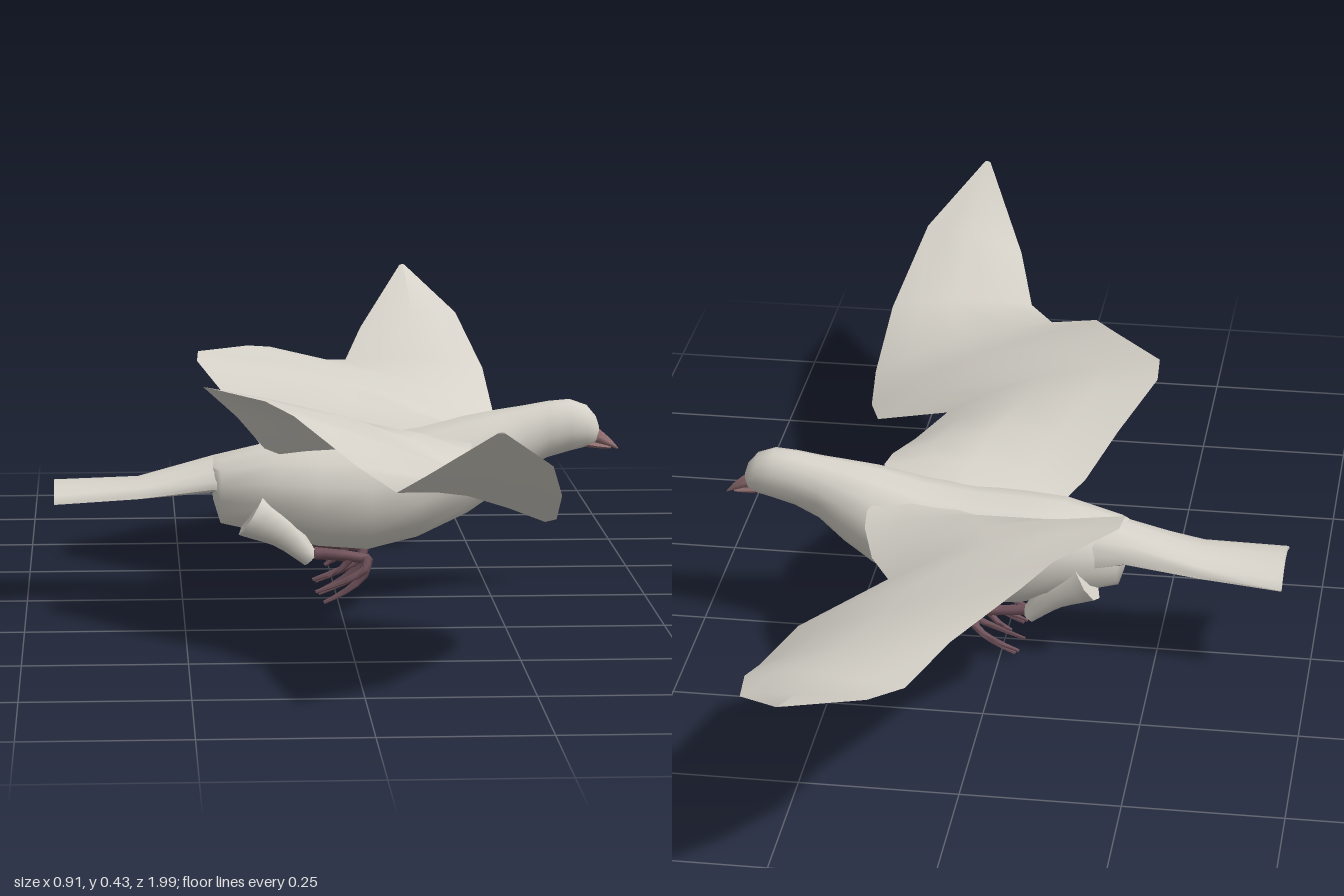
import * as THREE from 'three';
import { toCreasedNormals } from 'three/addons/utils/BufferGeometryUtils.js';

// Skin closed cross-sections (arrays of Vector3), cap both ends, face outward
function loft(rings, crease = 1) {
  const n = rings[0].length, pos = [], tri = [];
  rings.flat().forEach(p => pos.push(p.x, p.y, p.z));
  for (let i = 0; i < rings.length - 1; i++)
    for (let j = 0; j < n; j++) {
      const a = i * n + j, b = i * n + (j + 1) % n;
      tri.push([a, b, a + n], [b, b + n, a + n]);
    }
  const last = (rings.length - 1) * n;
  for (let j = 1; j < n - 1; j++) tri.push([0, j + 1, j], [last, last + j, last + j + 1]);
  const p = rings.flat();
  const volume = tri.reduce((s, [a, b, c]) => s + p[a].dot(p[b].clone().cross(p[c])), 0);
  if (volume < 0) tri.forEach(t => t.reverse());
  const g = new THREE.BufferGeometry();
  g.setAttribute('position', new THREE.Float32BufferAttribute(pos, 3));
  g.setIndex(tri.flat());
  return toCreasedNormals(g, crease);
}

const V = (x, y, z) => new THREE.Vector3(x, y, z);

// Upright oval section: x, bottom, top, half width, centre z
function oval([x, bottom, top, half, cz = -0.005], n = 14) {
  return Array.from({ length: n }, (_, i) => {
    const a = i / n * Math.PI * 2;
    return V(x, (top + bottom) / 2 + Math.cos(a) * (top - bottom) / 2, cz + Math.sin(a) * half);
  });
}

// Tapering tube along a smooth path
function taper(points, r0, r1, sides = 6, steps = 6) {
  const curve = new THREE.CatmullRomCurve3(points);
  const rings = [];
  for (let i = 0; i <= steps; i++) {
    const t = i / steps, c = curve.getPoint(t), d = curve.getTangent(t);
    const u = V(0, 0, 1).cross(d).normalize(), w = d.clone().cross(u).normalize();
    const r = r0 + (r1 - r0) * t;
    rings.push(Array.from({ length: sides }, (_, j) => {
      const a = j / sides * Math.PI * 2;
      return c.clone().addScaledVector(u, Math.cos(a) * r).addScaledVector(w, Math.sin(a) * r);
    }));
  }
  return loft(rings, 1.2);
}

// Wing stations: leading x,y,z, trailing x,y,z, thickness
const STATIONS = [
  [0.20, 0.26, 0.02, -0.08, 0.235, 0.02, 0.012],
  [0.21, 0.265, 0.08, -0.12, 0.26, 0.08, 0.02],
  [0.205, 0.26, 0.13, -0.165, 0.32, 0.14, 0.024],
  [0.18, 0.25, 0.21, -0.22, 0.38, 0.22, 0.026],
  [0.14, 0.26, 0.295, -0.217, 0.388, 0.28, 0.026],
  [0.27, 0.205, 0.365, -0.13, 0.382, 0.39, 0.024],
  [0.292, 0.20, 0.43, -0.09, 0.37, 0.46, 0.022],
  [0.30, 0.22, 0.52, 0.0, 0.31, 0.57, 0.018],
  [0.293, 0.28, 0.66, 0.05, 0.29, 0.68, 0.014],
  [0.26, 0.355, 0.85, 0.085, 0.335, 0.80, 0.008],
  [0.178, 0.425, 0.993, 0.168, 0.425, 0.99, 0.002],
];

function wing(side) {
  const shift = side < 0 ? 0.008 : 0;
  return loft(STATIONS.map(([lx, ly, lz, tx, ty, tz, h]) => {
    if (side < 0 && tx < -0.05) ty -= 0.022;
    const lead = V(lx, ly, side * (lz + shift)), trail = V(tx, ty, side * (tz + shift));
    const at = (t, up) => lead.clone().lerp(trail, t).add(V(0, up * h, 0));
    return [lead, at(0.2, 0.7), at(0.45, 0.9), at(0.75, 0.5), trail,
      at(0.75, 0.1), at(0.45, 0), at(0.2, -0.15)];
  }), 0.9);
}

export function createModel() {
  const bird = new THREE.Group();
  bird.name = 'bird';
  const mat = (name, color) => {
    const m = new THREE.MeshStandardMaterial({ color });
    m.name = name;
    return m;
  };
  const plumage = mat('pale plumage', 0xd6d2c9);
  const horn = mat('beak pink', 0x906e70);
  const skin = mat('dark foot pink', 0x70525b);
  const add = (name, geometry, material, parent = bird) => {
    const m = new THREE.Mesh(geometry, material);
    m.name = name;
    parent.add(m);
    return m;
  };

  // Body, neck and head in one smooth skin
  add('body', loft([
    [-0.20, 0.165, 0.233, 0.04], [-0.188, 0.125, 0.238, 0.055], [-0.10, 0.105, 0.26, 0.082],
    [-0.03, 0.086, 0.265, 0.094], [0.05, 0.08, 0.268, 0.097], [0.13, 0.10, 0.278, 0.092],
    [0.21, 0.138, 0.298, 0.075], [0.26, 0.172, 0.307, 0.056], [0.30, 0.208, 0.313, 0.043],
    [0.34, 0.228, 0.32, 0.037], [0.375, 0.238, 0.323, 0.034], [0.403, 0.245, 0.313, 0.028],
    [0.418, 0.252, 0.295, 0.018], [0.423, 0.262, 0.28, 0.008],
  ].map(s => oval(s)), 1.1), plumage);

  // Tail: a thin arched fan
  add('tail', loft([
    [-0.10, 0.14, 0.258, 0.06, 0.02], [-0.20, 0.18, 0.235, 0.055, 0.015],
    [-0.32, 0.176, 0.201, 0.062, 0.012], [-0.455, 0.188, 0.197, 0.077, 0.024],
  ].map(([x, bottom, top, half, droop]) => oval([x, bottom, top, half, -0.013]).map(p => {
    p.y -= droop * ((p.z + 0.013) / half) ** 2;
    return p;
  }))), plumage);

  // Wings
  add('leftWing', wing(1), plumage);
  add('rightWing', wing(-1), plumage);

  // Open beak
  add('upperBeak', loft([
    [0.405, 0.253, 0.285, 0.017], [0.425, 0.25, 0.273, 0.012],
    [0.443, 0.244, 0.257, 0.006], [0.455, 0.24, 0.243, 0.002],
  ].map(s => oval(s, 8))), horn);
  add('lowerBeak', loft([
    [0.395, 0.245, 0.258, 0.014], [0.42, 0.242, 0.251, 0.009], [0.443, 0.241, 0.245, 0.003],
  ].map(s => oval(s, 8))), horn);

  // Thigh feathers, legs and trailing toes
  for (const side of [1, -1]) {
    const leg = new THREE.Group();
    leg.name = side > 0 ? 'leftLeg' : 'rightLeg';
    bird.add(leg);
    const z = 0.052 * side;
    add('thighFeathers', taper([V(-0.14, 0.15, z), V(-0.09, 0.12, z), V(-0.045, 0.075, z * 0.95)],
      0.04, 0.014, 8), plumage, leg);
    add('shank', taper([V(-0.04, 0.085, z), V(0.01, 0.08, z), V(0.048, 0.074, z)],
      0.01, 0.008), skin, leg);
    for (const [dx, dy, dz] of [[0, 0, 0], [-0.014, 0.02, 0.014], [-0.008, 0.012, -0.014]])
      add('toe', taper([V(0.046, 0.076, z), V(0.04, 0.048 + dy * 0.5, z + dz * 0.7),
        V(0.012, 0.023 + dy, z + dz), V(-0.024 + dx, 0.004 + dy, z + dz)], 0.009, 0.003), skin, leg);
    add('hindToe', taper([V(0.02, 0.078, z), V(0.005, 0.06, z), V(-0.018, 0.046, z)],
      0.007, 0.003), skin, leg);
  }
  return bird;
}
